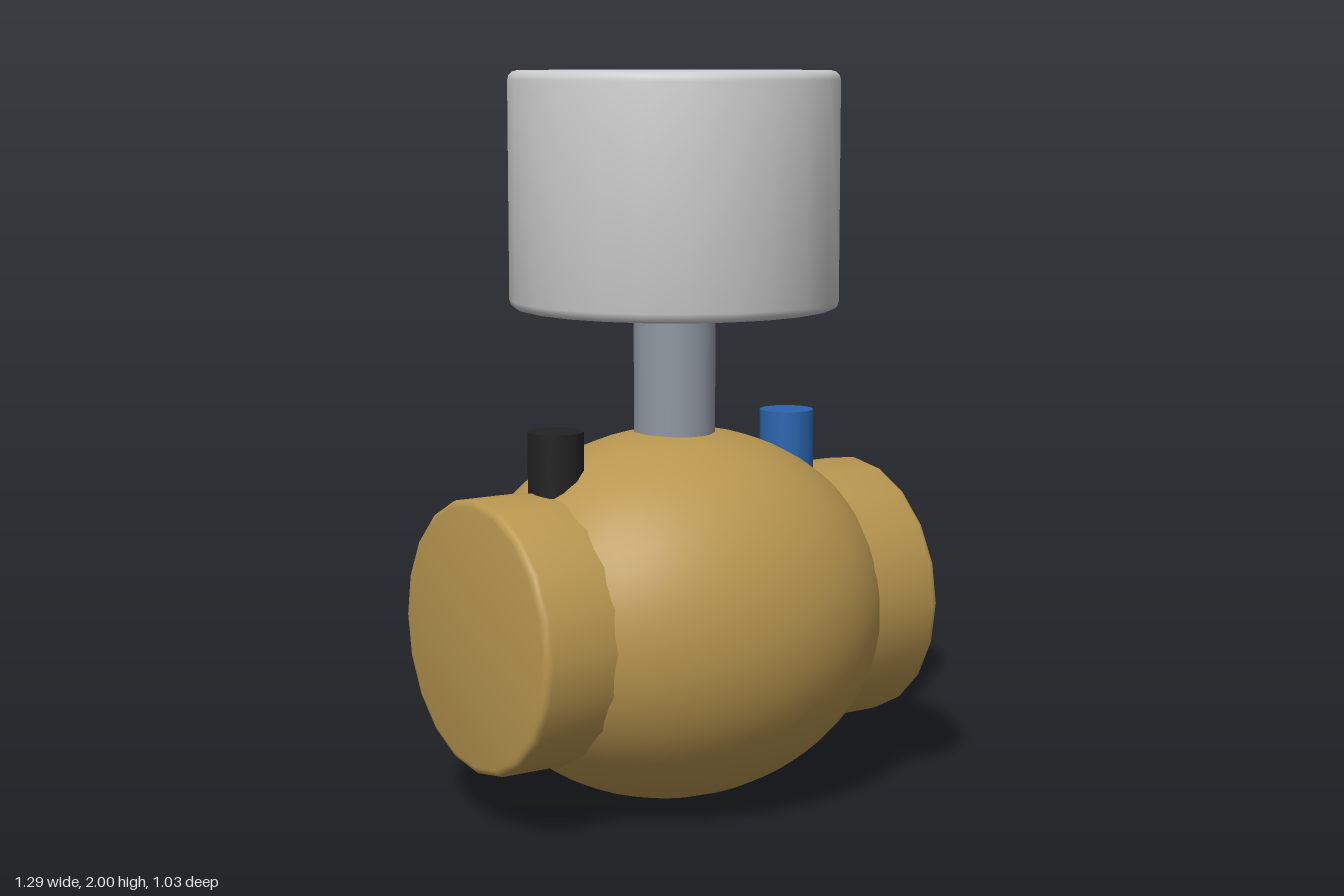
import * as THREE from 'three';
import { toCreasedNormals } from 'three/addons/utils/BufferGeometryUtils.js';

const material = (color) => new THREE.MeshStandardMaterial({ color });

// Solid cylinder along y, from y0 to y1, with rounded rims
function roundedCylinder(radius, y0, y1, bevel, sides) {
  const profile = [new THREE.Vector2(0, y0)];
  const steps = 3;
  for (const [y, start] of [[y0 + bevel, -Math.PI / 2], [y1 - bevel, 0]]) {
    for (let i = 0; i <= steps; i++) {
      const a = start + (i / steps) * Math.PI / 2;
      profile.push(new THREE.Vector2(radius - bevel + bevel * Math.cos(a), y + bevel * Math.sin(a)));
    }
  }
  profile.push(new THREE.Vector2(0, y1));
  return toCreasedNormals(new THREE.LatheGeometry(profile, sides), 0.65);
}

export function createModel() {
  const model = new THREE.Group();
  model.name = 'motorizedValve';
  const brass = material(0xb8964f);

  function add(name, geometry, mat, x = 0, y = 0) {
    const mesh = new THREE.Mesh(geometry, mat);
    mesh.name = name;
    mesh.position.set(x, y, 0);
    model.add(mesh);
    return mesh;
  }

  // Bulging valve body, stretched along the pipe
  const body = new THREE.SphereGeometry(0.515, 48, 32);
  body.rotateZ(Math.PI / 2);
  body.scale(0.62 / 0.515, 1, 1);
  add('valveBody', body, brass, 0, 0.515);

  // Pipe connections on both sides
  for (const side of [1, -1]) {
    const pipe = roundedCylinder(0.37, 0.2, 0.645, 0.02, 20);
    pipe.rotateZ(-side * Math.PI / 2);
    add(side > 0 ? 'leftPipeEnd' : 'rightPipeEnd', pipe, brass, 0, 0.52);
  }

  // Stem and actuator housing
  add('stem', new THREE.CylinderGeometry(0.112, 0.112, 0.5, 24), material(0x9097a0), 0, 1.15);
  add('actuatorHousing', roundedCylinder(0.45, 1.36, 2, 0.025, 24), material(0xcccccc));

  // Test ports, one per side
  const port = new THREE.CylinderGeometry(0.077, 0.077, 0.25, 12);
  port.rotateY(Math.PI / 12);
  add('leftTestPort', port, material(0x2a66b0), 0.385, 0.925);
  add('rightTestPort', port, material(0x222222), -0.385, 0.925);

  return model;
}
